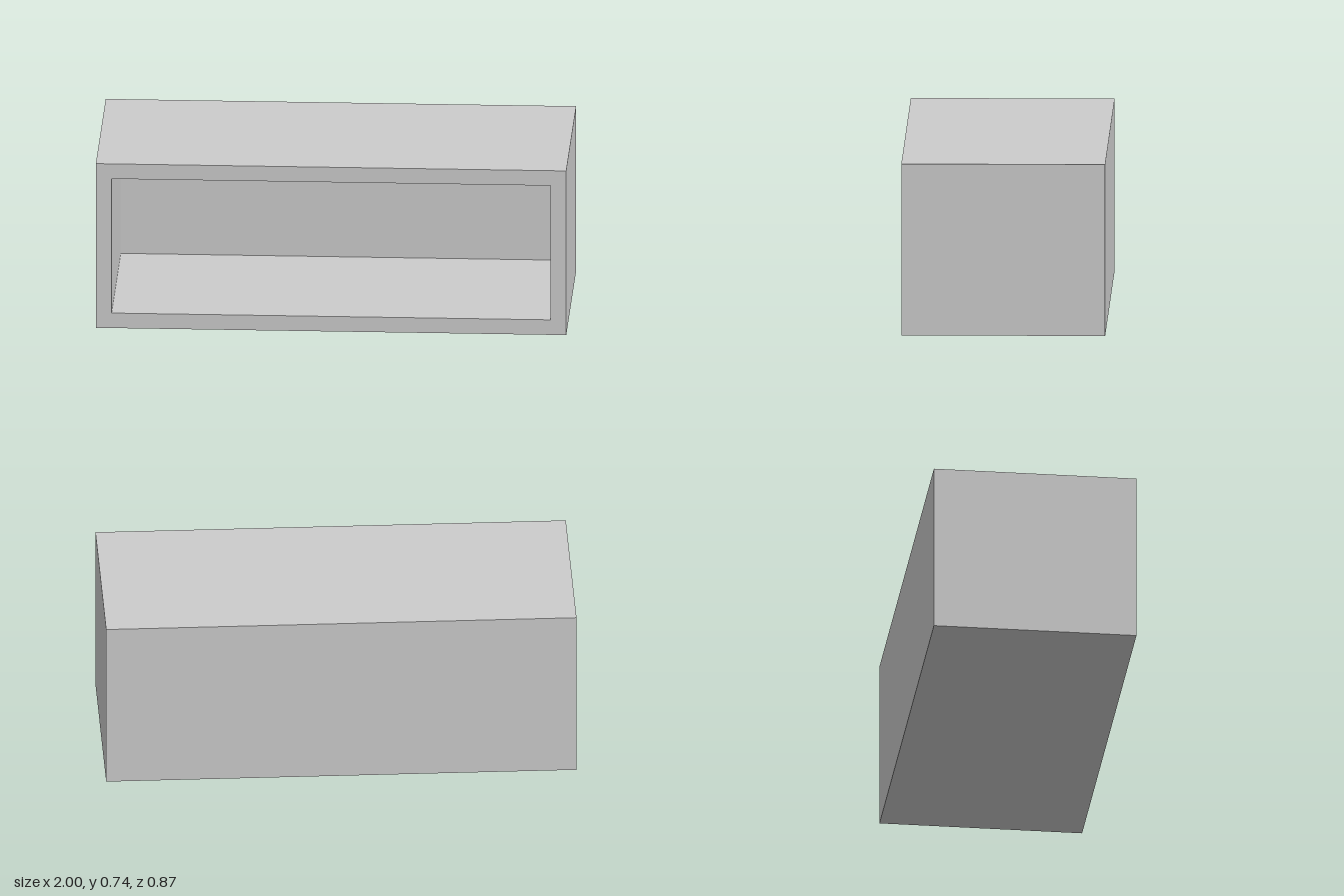
import * as THREE from 'three';
import { mergeGeometries } from 'three/addons/utils/BufferGeometryUtils.js';

const W = 2, H = 0.735, D = 0.866, WALL = 0.067;

// Box without its +z face; inward = true turns the faces to the inside.
function openBox(w, h, d, inward) {
  const geo = new THREE.BoxGeometry(w, h, d);
  const index = Array.from(geo.index.array);
  index.splice(24, 6);
  if (inward) {
    index.reverse();
    const normal = geo.attributes.normal;
    for (let i = 0; i < normal.array.length; i++) normal.array[i] *= -1;
  }
  geo.setIndex(index);
  geo.clearGroups();
  return geo;
}

// Rectangle centred on the origin.
function rectangle(path, w, h) {
  path.moveTo(-w / 2, -h / 2);
  path.lineTo(w / 2, -h / 2);
  path.lineTo(w / 2, h / 2);
  path.lineTo(-w / 2, h / 2);
  path.closePath();
  return path;
}

export function createModel() {
  const model = new THREE.Group();
  model.name = 'openBoxShelf';
  const innerW = W - 2 * WALL, innerH = H - 2 * WALL, innerD = D - WALL;

  // Outer walls, closed at the back
  const outer = openBox(W, H, D, false);

  // Compartment, open to the front
  const inner = openBox(innerW, innerH, innerD, true).translate(0, 0, WALL / 2);

  // Front rim joining the two
  const rimShape = rectangle(new THREE.Shape(), W, H);
  rimShape.holes.push(rectangle(new THREE.Path(), innerW, innerH));
  const rim = new THREE.ShapeGeometry(rimShape).translate(0, 0, D / 2);

  const shelf = new THREE.Mesh(
    mergeGeometries([outer, inner, rim]),
    new THREE.MeshStandardMaterial({ color: 0xcccccc })
  );
  shelf.name = 'shelfBody';
  shelf.position.y = H / 2;
  model.add(shelf);
  return model;
}
